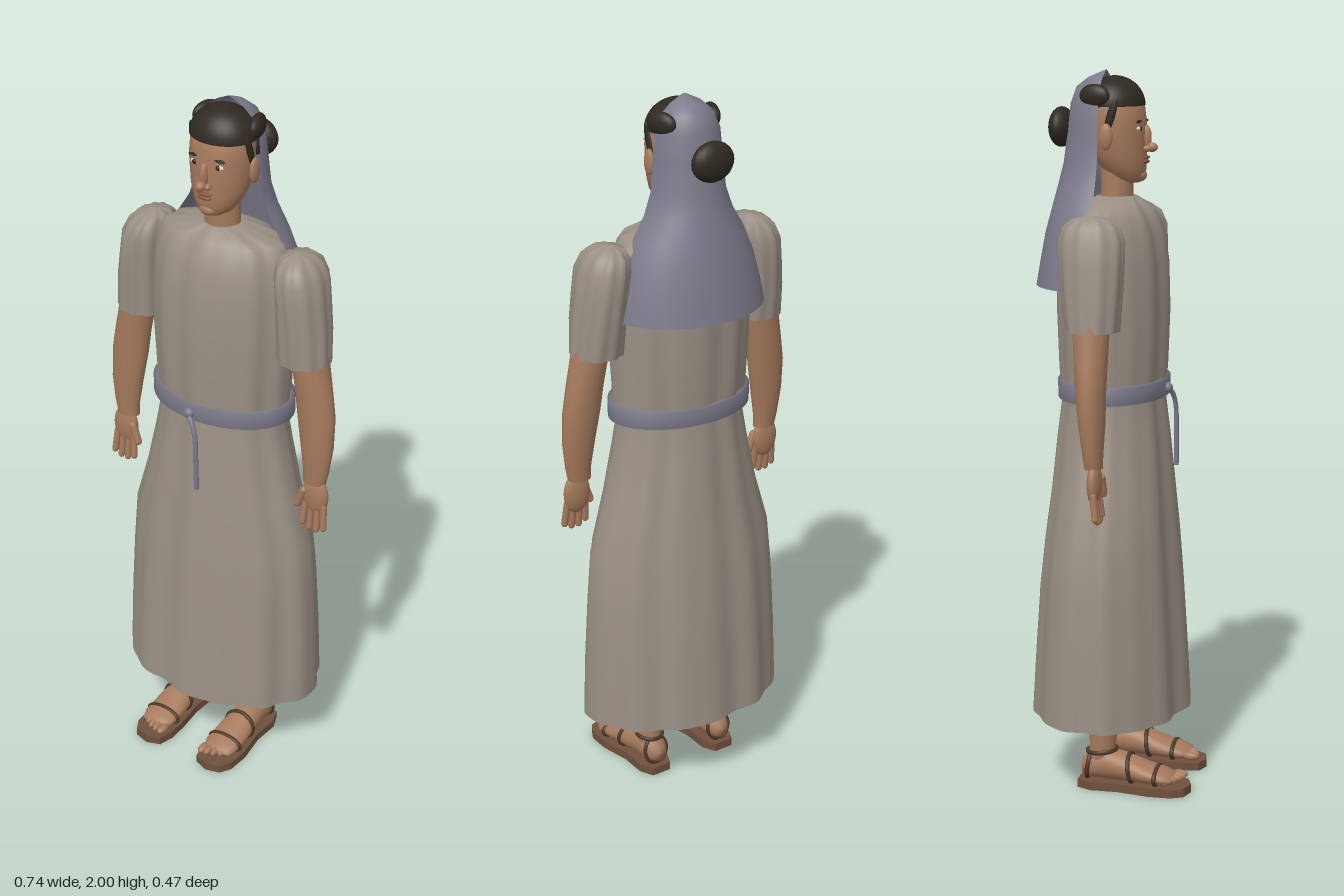
import * as THREE from 'three';

const mat = (name, color, side = THREE.FrontSide) => {
  const m = new THREE.MeshStandardMaterial({ color, side });
  m.name = name;
  return m;
};

// Smooth skin over elliptical rings [x, y, z, rx, rz], bottom to top; fold(a, y) adds to the radii.
function loft(rings, { seg = 32, fold = () => 0, from = 0, to = Math.PI * 2 } = {}) {
  const closed = to - from > 6.28, cols = closed ? seg : seg + 1;
  const pos = [], idx = [];
  for (const [x, y, z, rx, rz] of rings) {
    for (let j = 0; j < cols; j++) {
      const a = from + (to - from) * j / seg, f = fold(a, y);
      pos.push(x + (rx + f) * Math.sin(a), y, z + (rz + f) * Math.cos(a));
    }
  }
  for (let i = 0; i < rings.length - 1; i++) {
    for (let j = 0; j < seg; j++) {
      const k = (j + 1) % cols;
      const a = i * cols + j, b = i * cols + k, c = a + cols, d = b + cols;
      idx.push(a, b, d, a, d, c);
    }
  }
  const g = new THREE.BufferGeometry();
  g.setAttribute('position', new THREE.Float32BufferAttribute(pos, 3));
  g.setIndex(idx);
  g.computeVertexNormals();
  return g;
}

export function createModel() {
  const model = new THREE.Group();
  const robe = mat('robe cloth', 0x9a8f84, THREE.DoubleSide);
  const veilCloth = mat('veil cloth', 0x7c7a8a, THREE.DoubleSide);
  const skin = mat('skin', 0xa67a5d);
  const hair = mat('hair', 0x2f2921);
  const leather = mat('strap leather', 0x4e3828);
  const soleMat = mat('sole leather', 0x70503d);
  const lip = mat('lips', 0x86503f);
  const white = mat('eye white', 0xd8d0c4);

  const add = (name, geo, m, parent = model) => {
    const mesh = new THREE.Mesh(geo, m);
    mesh.name = name;
    parent.add(mesh);
    return mesh;
  };
  const blob = (name, p, r, m, parent = model) => {
    const mesh = add(name, new THREE.SphereGeometry(1, 20, 14), m, parent);
    mesh.position.set(...p);
    mesh.scale.set(...r);
    return mesh;
  };

  // Robe: flared skirt and gathered bodice, with irregular vertical folds
  const ripple = a => Math.sin(9 * a + 0.6) * 0.6 + Math.sin(14 * a + 2) * 0.4 + Math.sin(5 * a) * 0.3;
  const skirtFold = (a, y) => ripple(a) * (0.004 + 0.005 * (1.15 - y));
  add('skirt', loft([
    [0, 0.215, -0.012, 0.305, 0.215], [0, 0.4, -0.012, 0.3, 0.204], [0, 0.58, -0.012, 0.291, 0.192],
    [0, 0.72, -0.01, 0.28, 0.179], [0, 0.86, -0.008, 0.238, 0.165], [0, 1.0, -0.008, 0.206, 0.152],
    [0, 1.1, -0.008, 0.188, 0.14], [0, 1.14, -0.008, 0.19, 0.14]], { seg: 128, fold: skirtFold }), robe);
  const bodiceFold = (a, y) => ripple(a) * 0.005 * (y > 1.655 ? 0.3 : 1);
  add('bodice', loft([
    [0, 1.13, -0.008, 0.2, 0.14], [0, 1.2, -0.008, 0.203, 0.145], [0, 1.35, -0.008, 0.212, 0.15],
    [0, 1.48, -0.01, 0.212, 0.148], [0, 1.56, -0.01, 0.204, 0.136], [0, 1.605, -0.01, 0.192, 0.118],
    [0, 1.632, -0.008, 0.172, 0.098], [0, 1.647, -0.005, 0.11, 0.075], [0, 1.66, 0, 0.06, 0.056],
    [0, 1.662, 0, 0.048, 0.048]], { seg: 128, fold: bodiceFold }), robe);

  // Belt with a knot and one hanging end
  add('belt', loft([
    [0, 1.11, -0.008, 0.205, 0.143], [0, 1.112, -0.008, 0.215, 0.15], [0, 1.16, -0.008, 0.215, 0.152],
    [0, 1.162, -0.008, 0.2, 0.14]], { seg: 64 }), veilCloth);
  blob('beltKnot', [-0.008, 1.135, 0.147], [0.016, 0.014, 0.013], veilCloth);
  const tie = new THREE.CatmullRomCurve3([[-0.015, 1.14, 0.145], [0.008, 1.115, 0.157], [0.022, 1.08, 0.162],
    [0.026, 1.0, 0.163], [0.028, 0.91, 0.163]].map(p => new THREE.Vector3(...p)));
  add('beltTie', new THREE.TubeGeometry(tie, 24, 0.007, 8), veilCloth);

  // Neck and head
  const head = new THREE.Group();
  head.name = 'head';
  model.add(head);
  add('neck', loft([[0, 1.62, -0.005, 0.055, 0.05], [0, 1.67, 0, 0.05, 0.044], [0, 1.76, 0, 0.05, 0.046]]), skin, head);
  add('face', loft([
    [0, 1.695, 0.04, 0.001, 0.001], [0, 1.698, 0.038, 0.025, 0.024], [0, 1.71, 0.03, 0.046, 0.045],
    [0, 1.735, 0.02, 0.066, 0.06], [0, 1.77, 0.008, 0.08, 0.073], [0, 1.81, 0.002, 0.087, 0.078],
    [0, 1.86, 0, 0.09, 0.08], [0, 1.91, -0.005, 0.089, 0.079], [0, 1.95, -0.01, 0.07, 0.06],
    [0, 1.975, -0.01, 0.001, 0.001]]), skin, head);
  blob('noseBridge', [0, 1.82, 0.08], [0.011, 0.034, 0.016], skin, head);
  blob('noseTip', [0, 1.793, 0.097], [0.013, 0.013, 0.016], skin, head);
  blob('upperLip', [0, 1.766, 0.081], [0.024, 0.005, 0.009], lip, head);
  blob('lowerLip', [0, 1.755, 0.08], [0.02, 0.006, 0.009], lip, head);
  blob('chin', [0, 1.717, 0.064], [0.026, 0.017, 0.018], skin, head);

  // Hair: cap over the brow and a bun at the back
  const cap = add('hairCap', new THREE.SphereGeometry(1, 32, 16, 0, Math.PI * 2, 0, Math.PI / 2), hair, head);
  cap.position.set(0, 1.905, -0.008);
  cap.scale.set(0.095, 0.08, 0.084);
  blob('hairBun', [0, 1.845, -0.157], [0.065, 0.055, 0.034], hair, head);

  for (const s of [-1, 1]) {
    blob('eye', [s * 0.037, 1.845, 0.069], [0.015, 0.007, 0.007], white, head);
    blob('pupil', [s * 0.037, 1.845, 0.073], [0.007, 0.007, 0.005], hair, head);
    blob('eyebrow', [s * 0.038, 1.864, 0.07], [0.02, 0.0045, 0.006], hair, head).rotation.z = -s * 0.08;
    blob('nostril', [s * 0.014, 1.79, 0.086], [0.009, 0.009, 0.011], skin, head);
    blob('ear', [s * 0.096, 1.825, -0.008], [0.011, 0.036, 0.019], skin, head);
    blob('sideburn', [s * 0.089, 1.88, 0.004], [0.007, 0.05, 0.012], hair, head).rotation.x = 0.3;
    blob('sideLock', [s * 0.08, 1.933, -0.043], [0.02, 0.032, 0.046], hair, head).rotation.y = s * 0.3;
  }

  // Veil: half-round cloth, open at the front
  add('veil', loft([
    [0, 1.42, -0.03, 0.232, 0.19], [0, 1.48, -0.03, 0.22, 0.18], [0, 1.56, -0.03, 0.198, 0.166],
    [0, 1.63, -0.03, 0.168, 0.148], [0, 1.69, -0.03, 0.13, 0.133], [0, 1.75, -0.03, 0.108, 0.118],
    [0, 1.84, -0.03, 0.1, 0.106], [0, 1.91, -0.03, 0.094, 0.098], [0, 1.955, -0.03, 0.074, 0.082],
    [0, 1.98, -0.03, 0.045, 0.05], [0, 2.0, -0.03, 0.003, 0.003]],
  { seg: 40, from: Math.PI / 2, to: Math.PI * 1.5 }), veilCloth);

  // Sleeves, arms, hands, legs and sandals, one set per side
  for (const s of [-1, 1]) {
    const side = s > 0 ? 'left' : 'right';
    const mir = rings => rings.map(([x, ...r]) => [s * x, ...r]);
    const arm = new THREE.Group();
    arm.name = side + 'Arm';
    model.add(arm);
    add('sleeve', loft(mir([
      [0.266, 1.325, 0, 0.073, 0.07], [0.263, 1.42, -0.003, 0.071, 0.08], [0.256, 1.5, -0.006, 0.067, 0.086],
      [0.249, 1.56, -0.008, 0.066, 0.088], [0.24, 1.6, -0.01, 0.056, 0.075], [0.234, 1.62, -0.012, 0.037, 0.048],
      [0.23, 1.628, -0.015, 0.002, 0.002]]), { seg: 48, fold: (a, y) => y > 1.62 ? 0 : Math.sin(10 * a) * 0.003 }), robe, arm);
    add('arm', loft(mir([
      [0.318, 0.965, 0.015, 0.034, 0.024], [0.322, 1.0, 0.014, 0.038, 0.027], [0.321, 1.08, 0.011, 0.049, 0.035],
      [0.313, 1.17, 0.006, 0.056, 0.04], [0.303, 1.24, 0.004, 0.054, 0.044], [0.285, 1.34, 0, 0.052, 0.05],
      [0.262, 1.48, -0.005, 0.052, 0.055]])), skin, arm);
    blob('palm', [s * 0.325, 0.925, 0.019], [0.041, 0.06, 0.019], skin, arm);
    for (let i = 0; i < 4; i++) {
      const f = add('finger', new THREE.CapsuleGeometry(0.0095, 0.065, 4, 10), skin, arm);
      f.position.set(s * (0.357 - i * 0.021), 0.866 - (i === 1 || i === 2 ? 0.01 : 0), 0.026);
      f.rotation.set(-0.12, 0, s * (0.08 - i * 0.05));
    }
    const thumb = add('thumb', new THREE.CapsuleGeometry(0.011, 0.05, 4, 10), skin, arm);
    thumb.position.set(s * 0.284, 0.912, 0.03);
    thumb.rotation.z = s * -0.35;

    // Leg and foot; the foot is lofted along its length, then laid flat
    const leg = new THREE.Group();
    leg.name = side + 'Leg';
    leg.position.x = s * 0.113;
    model.add(leg);
    add('shin', loft([[0, 0.06, -0.022, 0.034, 0.04], [0, 0.12, -0.014, 0.035, 0.037],
      [0, 0.22, -0.01, 0.044, 0.042], [0, 0.5, -0.01, 0.055, 0.05]]), skin, leg);
    const foot = loft([
      [0, -0.076, -0.06, 0.001, 0.001], [0, -0.07, -0.06, 0.022, 0.024], [0, -0.05, -0.064, 0.036, 0.038],
      [0, 0, -0.07, 0.04, 0.046], [0, 0.05, -0.064, 0.045, 0.041], [0, 0.11, -0.052, 0.051, 0.03],
      [0, 0.165, -0.044, 0.052, 0.021], [0, 0.19, -0.04, 0.042, 0.015], [0, 0.2, -0.04, 0.001, 0.001]]);
    foot.rotateX(Math.PI / 2);
    add('foot', foot, skin, leg);
    for (let i = 0; i < 5; i++) {
      blob('toe', [s * (-0.038 + i * 0.019), 0.04, 0.2 - i * i * 0.0022], [i ? 0.0095 : 0.013, 0.012, 0.024], skin, leg);
    }

    // Sandal: faceted sole with straps over the toes, instep, heel and ankle
    const outline = [[-0.03, -0.08], [0.03, -0.08], [0.048, -0.04], [0.045, 0.04], [0.06, 0.13], [0.057, 0.195],
      [0.038, 0.228], [-0.005, 0.24], [-0.046, 0.225], [-0.057, 0.18], [-0.055, 0.12], [-0.045, 0.04], [-0.048, -0.04]];
    const shape = new THREE.Shape(outline.map(([x, z]) => new THREE.Vector2(s * x, -z)));
    const sole = new THREE.ExtrudeGeometry(shape, { depth: 0.024, bevelEnabled: false });
    sole.rotateX(-Math.PI / 2);
    add('sole', sole, soleMat, leg);
    const strap = (name, p, rx, ry, tilt) => {
      const t = add(name, new THREE.TorusGeometry(1, 0.12, 8, 32), leather, leg);
      t.position.set(...p);
      t.scale.set(rx, ry, 0.055);
      t.rotation.x = tilt;
    };
    strap('toeStrap', [0, 0.045, 0.145], 0.052, 0.026, 0);
    strap('instepStrap', [0, 0.06, 0.07], 0.047, 0.041, -0.15);
    strap('ankleStrap', [0, 0.108, -0.016], 0.038, 0.042, Math.PI / 2 - 0.1);
    strap('heelStrap', [0, 0.065, -0.05], 0.037, 0.042, 0.15);
  }
  return model;
}
